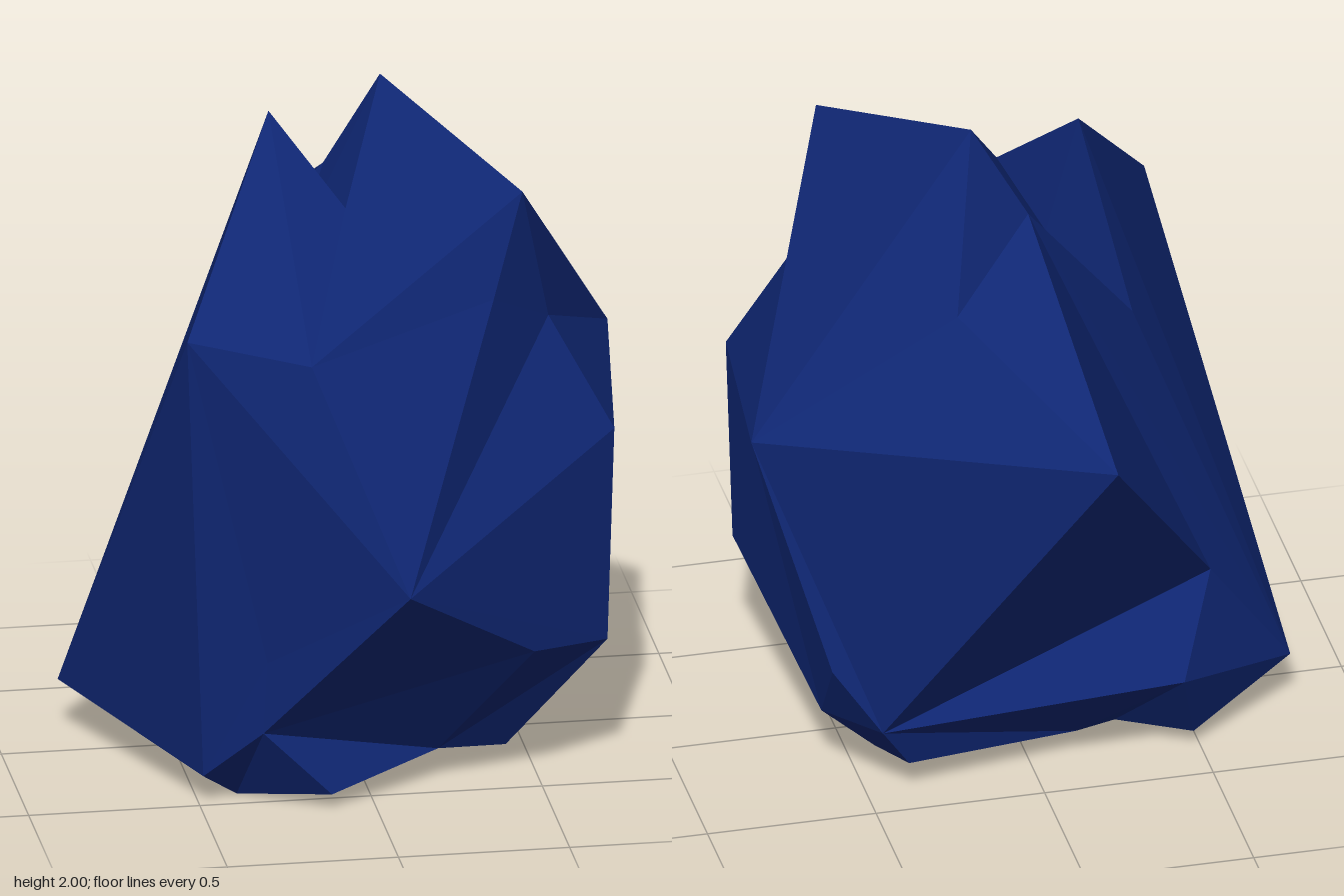
import * as THREE from 'three';

// Corners of the rock, grouped by height
const corners = {
  // left spire
  tipL: [-0.22, 1.94, 0], shoulderL: [-0.54, 1.44, 0.52], browL: [-0.20, 1.40, 0.67],
  // right spire
  tipR: [0.12, 2, -0.09], browR: [0.45, 1.82, 0.45], neckR: [0.35, 1.53, 0.55],
  cheekR: [0.54, 1.40, 0.36], napeR: [0.22, 1.53, -0.34],
  // cleft between the spires
  cleftF: [-0.03, 1.71, 0.22], cleftM: [-0.13, 1.56, 0.03], cleftB: [-0.04, 1.72, -0.13], cleftL: [-0.33, 1.40, -0.21],
  // waist
  nose: [0.05, 0.76, 0.91], hipF: [0.72, 1.07, 0.44], hipB: [0.81, 1.14, -0.25], spur: [-0.12, 1.28, -0.91],
  kneeL: [-0.32, 0.47, 0.61], kneeR: [0.46, 0.46, 0.61], sideF: [0.70, 0.42, 0.44], sideB: [0.61, 0.44, -0.42],
  hollow: [-0.54, 0.56, -0.30],
  // foot
  toeL: [-0.81, 0.16, -0.16], heelL: [-0.49, 0.09, 0.50], shin: [-0.33, 0.25, 0.60], ledge: [0.60, 0.21, -0.24],
  rim: [0.47, 0.24, -0.46], notch: [-0.42, 0.30, -0.48],
  b0: [-0.38, 0, 0.42], b1: [-0.13, 0.05, 0.60], b2: [0.21, 0.10, 0.41], b3: [0.42, 0.07, 0.33],
  b4: [0.45, 0.09, -0.27], b5: [0.38, 0.10, -0.41], b6: [-0.14, 0.08, -0.31], b7: [-0.27, 0.06, -0.24],
  b8: [-0.48, 0.05, -0.34],
};

// Facets of each part, corners counter-clockwise from outside
const parts = {
  leftSpire: [
    'browL tipL shoulderL', 'tipL cleftL toeL shoulderL', 'toeL heelL shoulderL',
    'cleftM cleftL tipL', 'cleftM tipL cleftF',
  ],
  rightSpire: [
    'cleftF browR tipR', 'neckR cheekR browR', 'browR cheekR hipB tipR',
    'tipR hipB napeR', 'tipR napeR cleftB cleftM', 'tipR cleftM cleftF',
  ],
  frontFacets: [
    'browL neckR browR cleftF tipL', 'nose neckR browL shoulderL kneeL', 'shoulderL heelL kneeL',
    'kneeL heelL shin', 'nose kneeL shin kneeR', 'nose kneeR sideF hipF', 'nose hipF cheekR neckR',
  ],
  sideFacets: ['cheekR hipF hipB', 'hipF sideF ledge sideB hipB', 'hipB sideB rim spur napeR'],
  backFacets: [
    'spur hollow cleftB napeR', 'spur rim hollow', 'rim b5 b6 notch hollow',
    'cleftB hollow toeL', 'cleftB toeL cleftL', 'cleftB cleftL cleftM', 'hollow notch toeL',
  ],
  foot: [
    'heelL b0 shin', 'b0 b1 shin', 'shin b1 b2 kneeR', 'b2 b3 sideF kneeR', 'sideF b3 b4 ledge',
    'ledge b4 b5 rim sideB', 'notch b8 toeL', 'notch b6 b7 b8', 'toeL b8 b0 heelL',
    'b2 b1 b0 b8 b7 b6 b5 b4 b3',
  ],
};

// Fans every facet into separate triangles, so each stays flat
function facetGeometry(facets) {
  const positions = [];
  for (const facet of facets) {
    const loop = facet.split(' ').map((name) => corners[name]);
    for (let i = 1; i < loop.length - 1; i++) positions.push(...loop[0], ...loop[i], ...loop[i + 1]);
  }
  const geometry = new THREE.BufferGeometry();
  geometry.setAttribute('position', new THREE.Float32BufferAttribute(positions, 3));
  geometry.computeVertexNormals();
  return geometry;
}

export function createModel() {
  const group = new THREE.Group();
  group.name = 'rock';
  const navy = new THREE.MeshStandardMaterial({ color: 0x0f2672 });
  navy.name = 'navy stone';
  for (const [name, facets] of Object.entries(parts)) {
    const mesh = new THREE.Mesh(facetGeometry(facets), navy);
    mesh.name = name;
    group.add(mesh);
  }
  return group;
}
